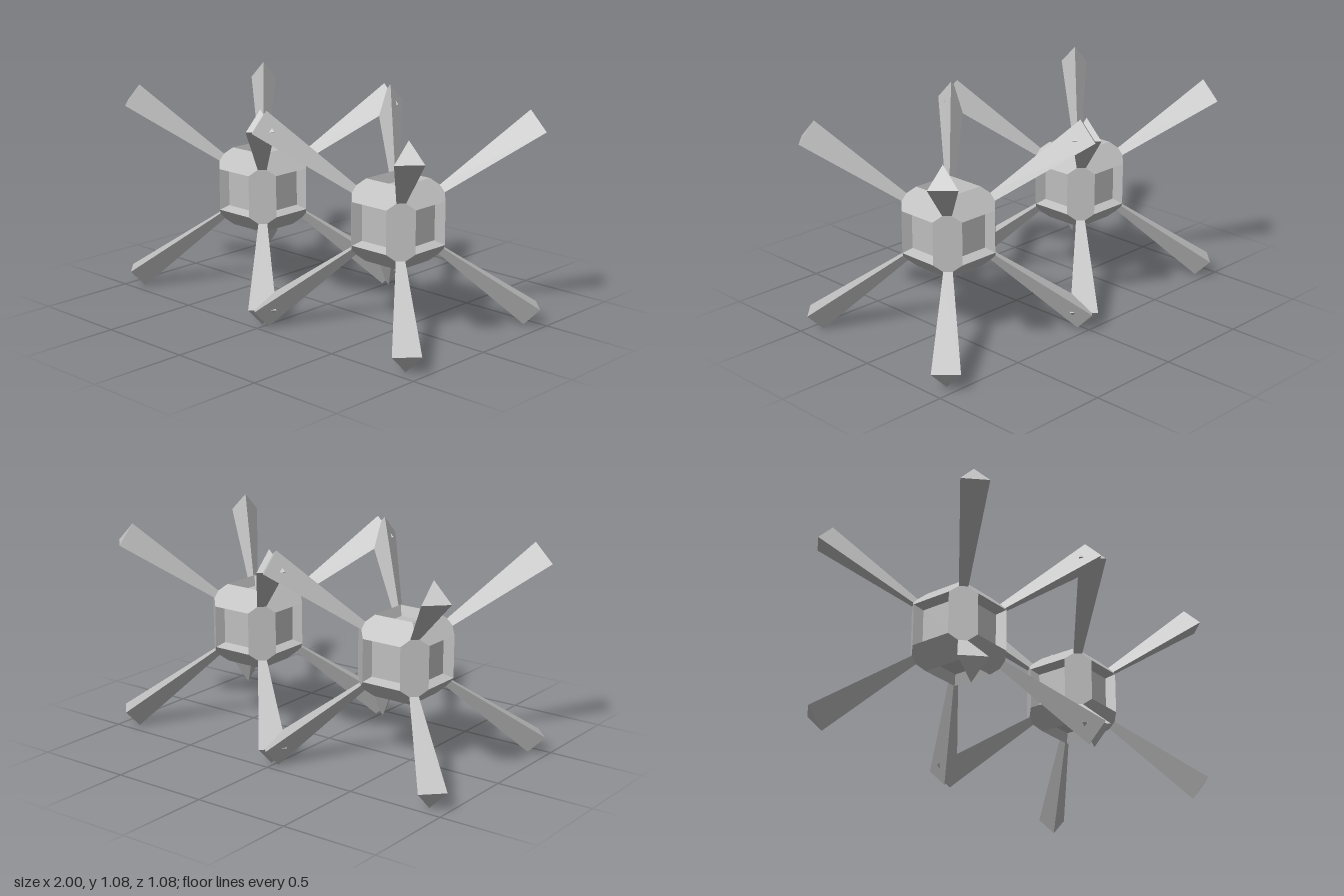
import * as THREE from 'three';
import { mergeGeometries } from 'three/addons/utils/BufferGeometryUtils.js';
import { ConvexGeometry } from 'three/addons/geometries/ConvexGeometry.js';

const NODE_X = 0.4625, CENTRE_Y = 0.5375;
const R = 0.206, A = 0.108;            // core half-width, half-size of each square opening
const FLOOR = 0.09, DEPTH = 0.05;      // half-size and depth of the recessed floor
const BASE = [0.141, 0.173];           // arm base triangle (short, long coordinate)
const TIP = [0.441, 0.5375];           // arm tip triangle

// Flat convex polygon, corners counter-clockwise from outside
function polygon(points) {
  const pos = [];
  for (let i = 1; i < points.length - 1; i++) pos.push(...points[0], ...points[i], ...points[i + 1]);
  const g = new THREE.BufferGeometry();
  g.setAttribute('position', new THREE.Float32BufferAttribute(pos, 3));
  g.computeVertexNormals();
  return g;
}

// Copies a piece round the x axis and then onto all three axes
function aroundCube(piece, turns) {
  const copies = [];
  const diagonal = new THREE.Vector3(1, 1, 1).normalize();
  for (let axis = 0; axis < 3; axis++) {
    const swap = new THREE.Matrix4().makeRotationAxis(diagonal, axis * Math.PI * 2 / 3);
    for (let t = 0; t < turns; t++) {
      const turn = new THREE.Matrix4().makeRotationX(t * Math.PI * 2 / turns);
      copies.push(piece.clone().applyMatrix4(turn).applyMatrix4(swap));
    }
  }
  return mergeGeometries(copies);
}

// Chamfered cube edge with its ends trimmed where the arms begin
function edgePanel() {
  const [m, n] = BASE;
  return polygon([[-A, A, R], [A, A, R], [m, m, n], [m, n, m],
    [A, R, A], [-A, R, A], [-m, n, m], [-m, m, n]]);
}

// Tapered square recess: four sloping walls and a floor
function recess() {
  const ring = (s, z) => [[-s, -s, z], [s, -s, z], [s, s, z], [-s, s, z]];
  const outer = ring(A, R), inner = ring(FLOOR, R - DEPTH);
  const parts = [polygon(inner)];
  for (let i = 0; i < 4; i++) {
    const j = (i + 1) % 4;
    parts.push(polygon([outer[i], outer[j], inner[j], inner[i]]));
  }
  return mergeGeometries(parts);
}

// Three-sided arm flaring from a core corner to a flat tip
function arm(sx, sy, sz) {
  const points = [];
  for (const [s, l] of [BASE, TIP]) {
    for (const [x, y, z] of [[l, s, s], [s, l, s], [s, s, l]]) {
      points.push(new THREE.Vector3(sx * x, sy * y, sz * z));
    }
  }
  return new ConvexGeometry(points);
}

export function createModel() {
  const model = new THREE.Group();
  model.name = 'linkedNodes';
  const grey = new THREE.MeshStandardMaterial({ color: 0xbfbfbf });
  grey.name = 'grey';

  const frameGeometry = aroundCube(edgePanel(), 4);
  const recessGeometry = aroundCube(recess(), 2);

  for (const side of [-1, 1]) {
    const node = new THREE.Group();
    node.name = side > 0 ? 'leftNode' : 'rightNode';
    node.position.set(side * NODE_X, CENTRE_Y, 0);
    const add = (name, geometry) => {
      const mesh = new THREE.Mesh(geometry, grey);
      mesh.name = name;
      node.add(mesh);
    };
    add('coreFrame', frameGeometry);
    add('coreRecesses', recessGeometry);
    for (const sx of [-1, 1]) for (const sy of [-1, 1]) for (const sz of [-1, 1]) {
      add(`${sy > 0 ? 'upper' : 'lower'}${sz > 0 ? 'Front' : 'Back'}${sx > 0 ? 'Left' : 'Right'}Arm`, arm(sx, sy, sz));
    }
    model.add(node);
  }
  return model;
}
